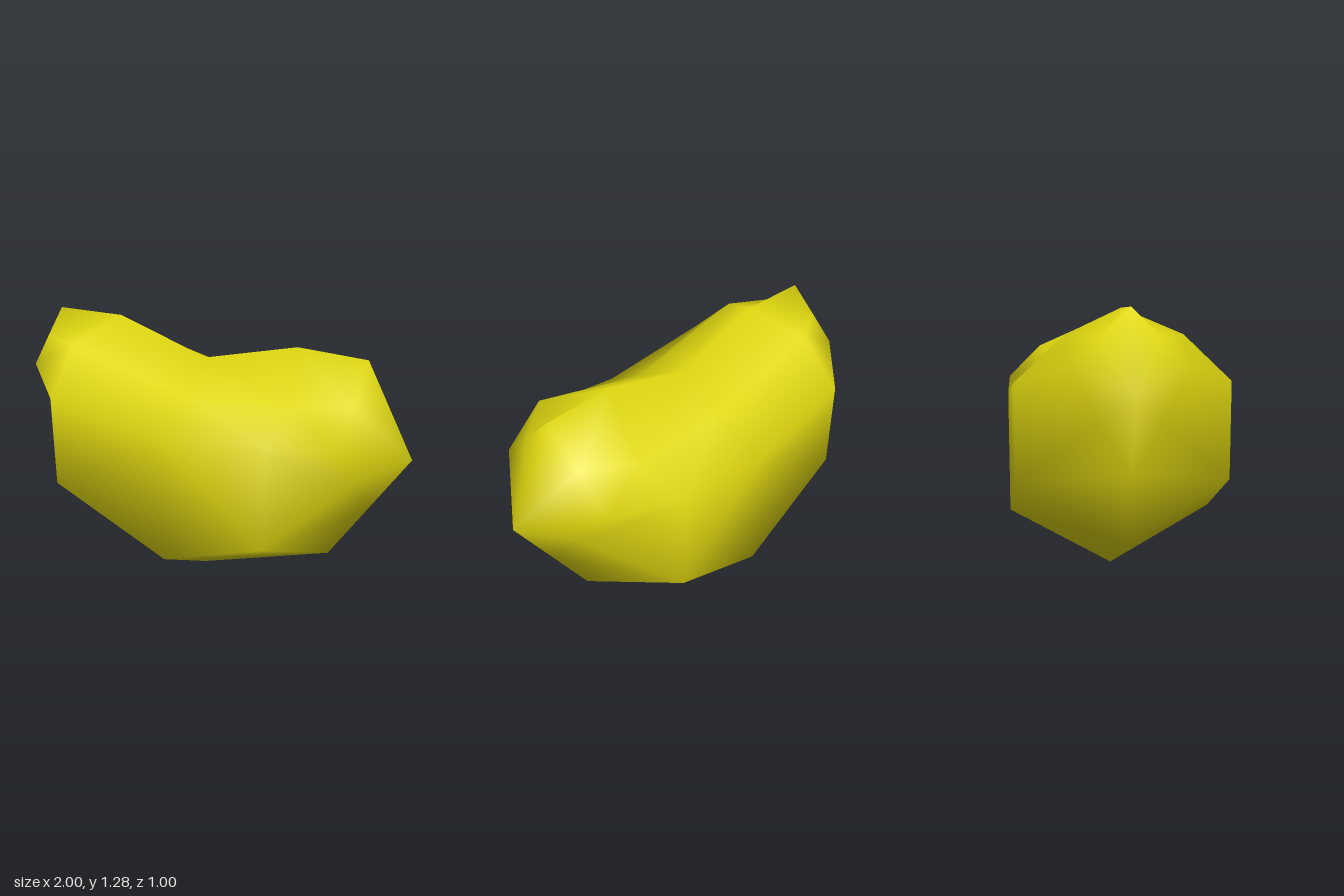
import * as THREE from 'three';

// Cross-sections from the -x end to the +x end. Each lists one half as
// [x, y, z]: bottom ridge, lower side, upper side, shoulder, top ridge.
const SECTIONS = [
  [[-0.87, 0.62, 0], [-0.855, 0.83, 0.125], [-0.84, 1.05, 0.24], [-0.835, 1.165, 0.125], [-0.83, 1.285, 0]],
  [[-0.75, 0.3, 0], [-0.6, 0.54, 0.465], [-0.6, 0.97, 0.465], [-0.61, 1.17, 0.25], [-0.48, 1.28, 0]],
  [[-0.02, 0, 0], [0, 0.28, 0.5], [0, 0.87, 0.5], [0.03, 1.0, 0.26], [-0.02, 1.12, 0]],
  [[0.64, 0.21, 0], [0.48, 0.44, 0.5], [0.48, 0.91, 0.5], [0.57, 1.07, 0.335], [0.44, 1.225, 0]],
  [[0.82, 0.49, 0], [0.79, 0.68, 0.17], [0.76, 0.89, 0.34], [0.765, 1.045, 0.17], [0.77, 1.205, 0]],
];
const TIPS = [[-1, 0.94, 0], [1, 0.77, 0]];

// Complete a half section by mirroring its side points across z = 0
function fullRing(half) {
  const mirrored = half.slice(1, -1).reverse().map(([x, y, z]) => [x, y, -z]);
  return [...half, ...mirrored];
}

function beanGeometry() {
  const rings = SECTIONS.map(fullRing);
  const sides = rings[0].length;
  const last = rings.length - 1;
  const middle = last / 2;
  const points = [...rings.flat(), ...TIPS];
  const leftTip = points.length - 2;
  const rightTip = points.length - 1;
  const at = (i, j) => i * sides + (j % sides);
  const index = [];

  for (let j = 0; j < sides; j++) {
    // Skin between sections, with diagonals mirrored about both centre planes
    for (let i = 0; i < last; i++) {
      const a = at(i, j), b = at(i + 1, j), c = at(i + 1, j + 1), d = at(i, j + 1);
      if ((i < middle) === (j < sides / 2)) index.push(a, b, c, a, c, d);
      else index.push(a, b, d, b, c, d);
    }
    // Pointed ends
    index.push(leftTip, at(0, j), at(0, j + 1));
    index.push(rightTip, at(last, j + 1), at(last, j));
  }

  const geometry = new THREE.BufferGeometry();
  geometry.setAttribute('position', new THREE.Float32BufferAttribute(points.flat(), 3));
  geometry.setIndex(index);
  geometry.computeVertexNormals();
  return geometry;
}

export function createModel() {
  const group = new THREE.Group();
  group.name = 'bean';

  const yellow = new THREE.MeshStandardMaterial({ color: 0xe0d810 });
  yellow.name = 'bean yellow';

  const body = new THREE.Mesh(beanGeometry(), yellow);
  body.name = 'beanBody';
  group.add(body);
  return group;
}
